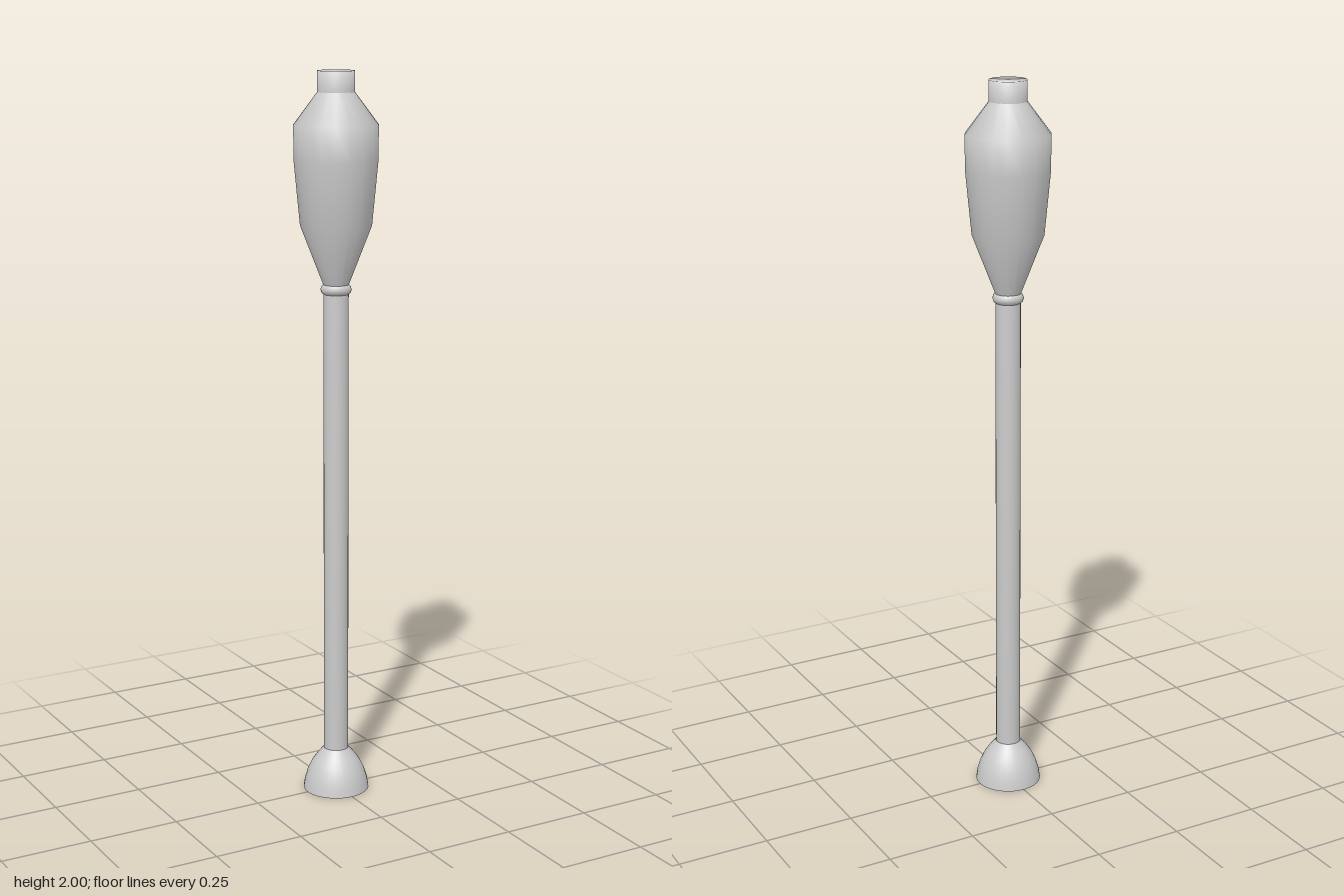
import * as THREE from 'three';

const material = new THREE.MeshStandardMaterial({ color: 0xcccccc, side: THREE.DoubleSide });

export function createModel() {
  const group = new THREE.Group();

  // Every part is turned from a profile of [radius, height] points, listed bottom to top
  const turn = (name, profile, sides) => {
    const points = profile.map(([r, y]) => new THREE.Vector2(r, y));
    const mesh = new THREE.Mesh(new THREE.LatheGeometry(points, sides), material);
    mesh.rotation.y = Math.PI / 2;
    mesh.name = name;
    group.add(mesh);
    return mesh;
  };

  // Hollow bell-shaped foot, open underneath
  turn('foot', [
    [0.092, 0], [0.088, 0.025], [0.08, 0.052], [0.068, 0.077],
    [0.054, 0.097], [0.035, 0.12],
  ], 32);

  // Long straight shaft
  turn('shaft', [[0, 0.11], [0.034, 0.11], [0.034, 1.43], [0, 1.43]], 24);

  // Small rounded collar between shaft and head
  const collar = new THREE.Mesh(new THREE.TorusGeometry(0.026, 0.016, 10, 32), material);
  collar.rotation.x = Math.PI / 2;
  collar.position.y = 1.424;
  collar.name = 'collar';
  group.add(collar);

  // Faceted head, swelling from the collar to the shoulder
  turn('head', [
    [0.034, 1.435], [0.097, 1.597], [0.113, 1.765], [0.114, 1.86], [0.05, 1.945],
  ], 18);

  // Short neck with a flat closed top
  turn('neck', [[0.05, 1.94], [0.05, 2], [0, 2]], 32);

  return group;
}
